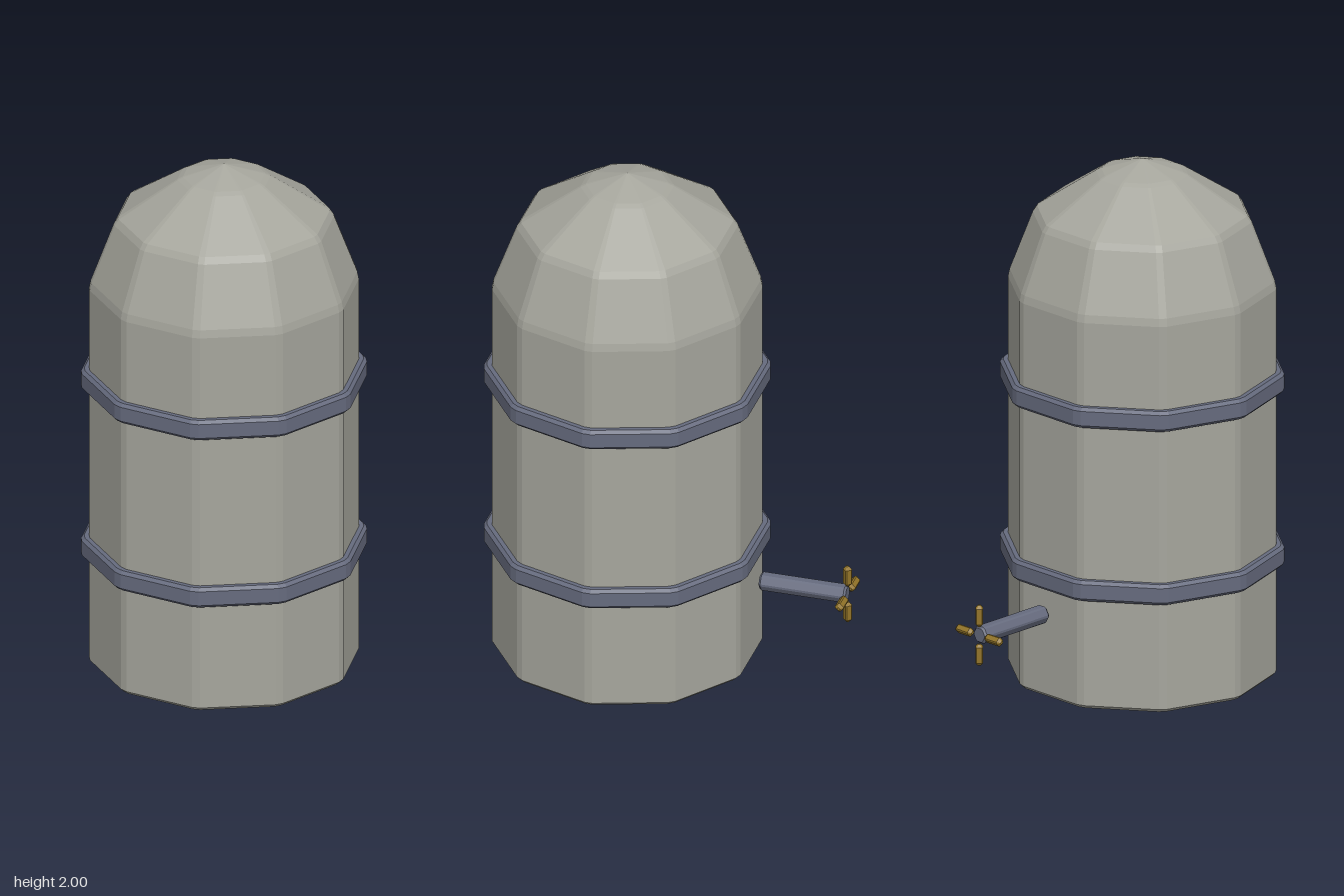
import * as THREE from 'three';

const mat = (name, color) => {
  const m = new THREE.MeshStandardMaterial({ color, flatShading: true });
  m.name = name;
  return m;
};

// Faceted solid of revolution: n sides with chamfered corners, profile [radius, y] from bottom to top
function loft(profile, n, chamfer) {
  const pos = [], idx = [], count = n * 2;
  for (const [r, y] of profile) {
    for (let j = 0; j < n; j++) {
      for (const s of [-1, 1]) {
        const a = (j / n) * Math.PI * 2 + s * chamfer;
        pos.push(r * Math.cos(a), y, r * Math.sin(a));
      }
    }
  }
  for (let i = 0; i < profile.length - 1; i++) {
    for (let j = 0; j < count; j++) {
      const a = i * count + j, b = i * count + ((j + 1) % count);
      const c = a + count, d = b + count;
      if (profile[i + 1][0] > 0) idx.push(a, c, d);
      if (profile[i][0] > 0) idx.push(a, d, b);
    }
  }
  const g = new THREE.BufferGeometry();
  g.setAttribute('position', new THREE.Float32BufferAttribute(pos, 3));
  g.setIndex(idx);
  g.computeVertexNormals();
  return g;
}

export function createModel() {
  const model = new THREE.Group();
  model.name = 'storageTank';
  const shell = mat('tankGrey', 0xa6a69d);
  const steel = mat('blueSteel', 0x666b7e);
  const brass = mat('brass', 0x927429);

  const add = (parent, name, geometry, material) => {
    const m = new THREE.Mesh(geometry, material);
    m.name = name;
    parent.add(m);
    return m;
  };

  // Tank shell with a domed top
  const tank = add(model, 'tankBody', loft([
    [0, 0], [0.487, 0], [0.5, 0.013], [0.5, 1.515], [0.494, 1.545],
    [0.408, 1.773], [0.392, 1.797], [0.172, 1.944], [0.152, 1.954], [0, 2]
  ], 10, 0.03), shell);
  tank.position.z = 0.18;

  // Reinforcing bands
  for (const [name, y] of [['lowerBand', 0.47], ['upperBand', 1.15]]) {
    const band = add(model, name, loft([
      [0.47, -0.04], [0.518, -0.04], [0.53, -0.028],
      [0.53, 0.028], [0.518, 0.04], [0.47, 0.04]
    ], 10, 0.03), steel);
    band.position.set(0, y, 0.18);
  }

  // Outlet pipe at the back
  const outlet = new THREE.Group();
  outlet.name = 'outlet';
  outlet.position.set(0, 0.343, -0.335);
  model.add(outlet);
  const pipe = add(outlet, 'outletPipe', loft([
    [0, 0], [0.028, 0], [0.035, 0.008], [0.035, 0.327], [0.028, 0.335], [0, 0.335]
  ], 6, 0.12), steel);
  pipe.rotation.x = -Math.PI / 2;

  // Four-spoke valve handle
  const handle = new THREE.Group();
  handle.name = 'valveHandle';
  handle.position.z = -0.335;
  outlet.add(handle);
  const spoke = loft([
    [0, 0.034], [0.006, 0.034], [0.017, 0.046],
    [0.017, 0.106], [0.006, 0.118], [0, 0.118]
  ], 4, 0.2);
  for (let i = 0; i < 4; i++) {
    add(handle, 'valveSpoke' + (i + 1), spoke, brass).rotation.z = i * Math.PI / 2;
  }
  return model;
}
